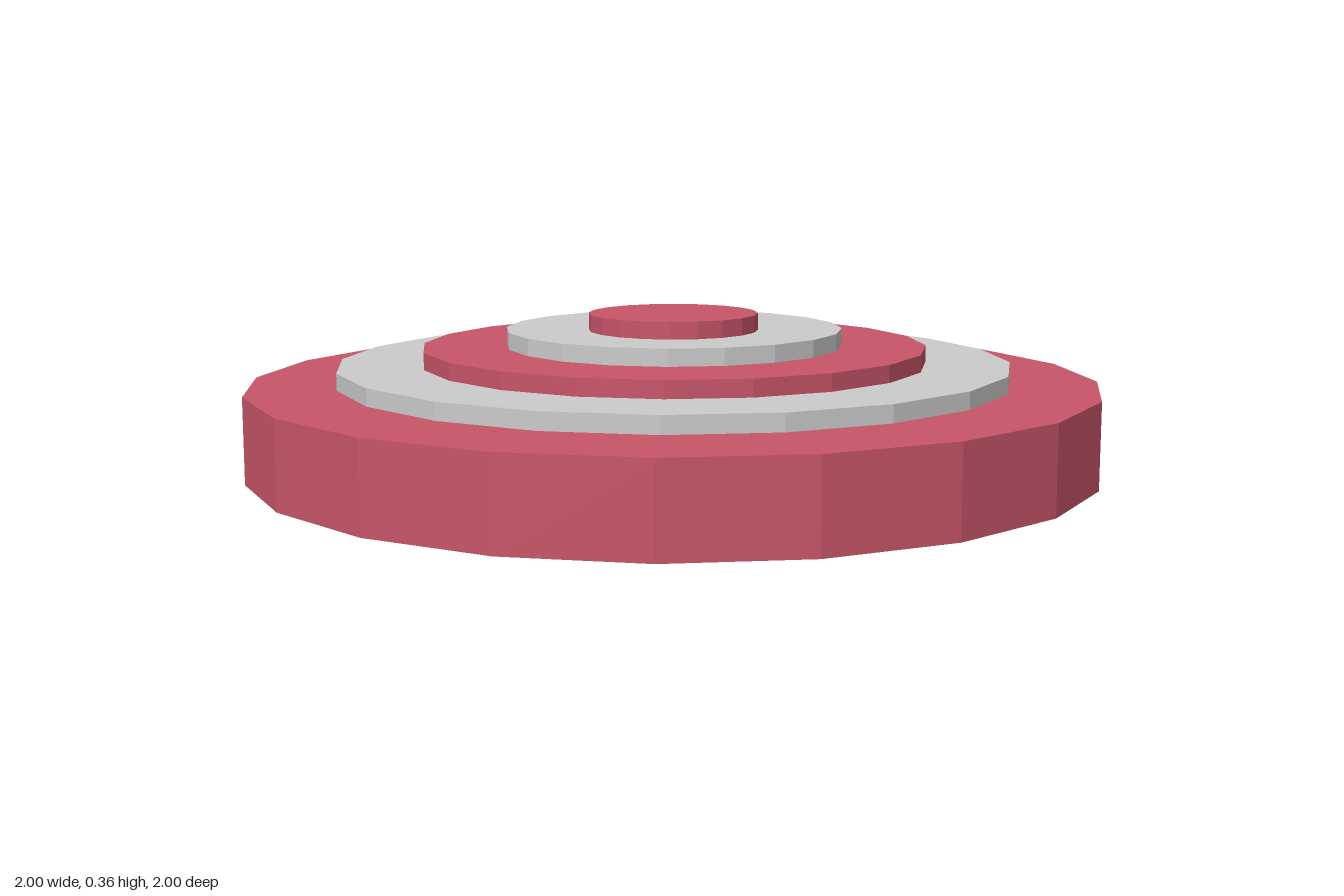
import * as THREE from 'three';

const SIDES = 20;

export function createModel() {
  const model = new THREE.Group();
  const red = new THREE.MeshStandardMaterial({ color: 0xc85568, flatShading: true });
  const grey = new THREE.MeshStandardMaterial({ color: 0xcccccc, flatShading: true });

  // One faceted disc standing on height y, shifted along z
  function addDisc(name, radius, y, height, z, material) {
    const disc = new THREE.Mesh(new THREE.CylinderGeometry(radius, radius, height, SIDES), material);
    disc.name = name;
    disc.position.set(0, y + height / 2, z);
    model.add(disc);
  }

  // Thick base, three rings set slightly back, and a centred bullseye
  addDisc('base', 1, 0, 0.2, 0, red);
  addDisc('outerRing', 0.8, 0.2, 0.04, -0.04, grey);
  addDisc('middleRing', 0.6, 0.24, 0.04, -0.04, red);
  addDisc('innerRing', 0.4, 0.28, 0.04, -0.04, grey);
  addDisc('bullseye', 0.2, 0.32, 0.04, 0, red);

  return model;
}
